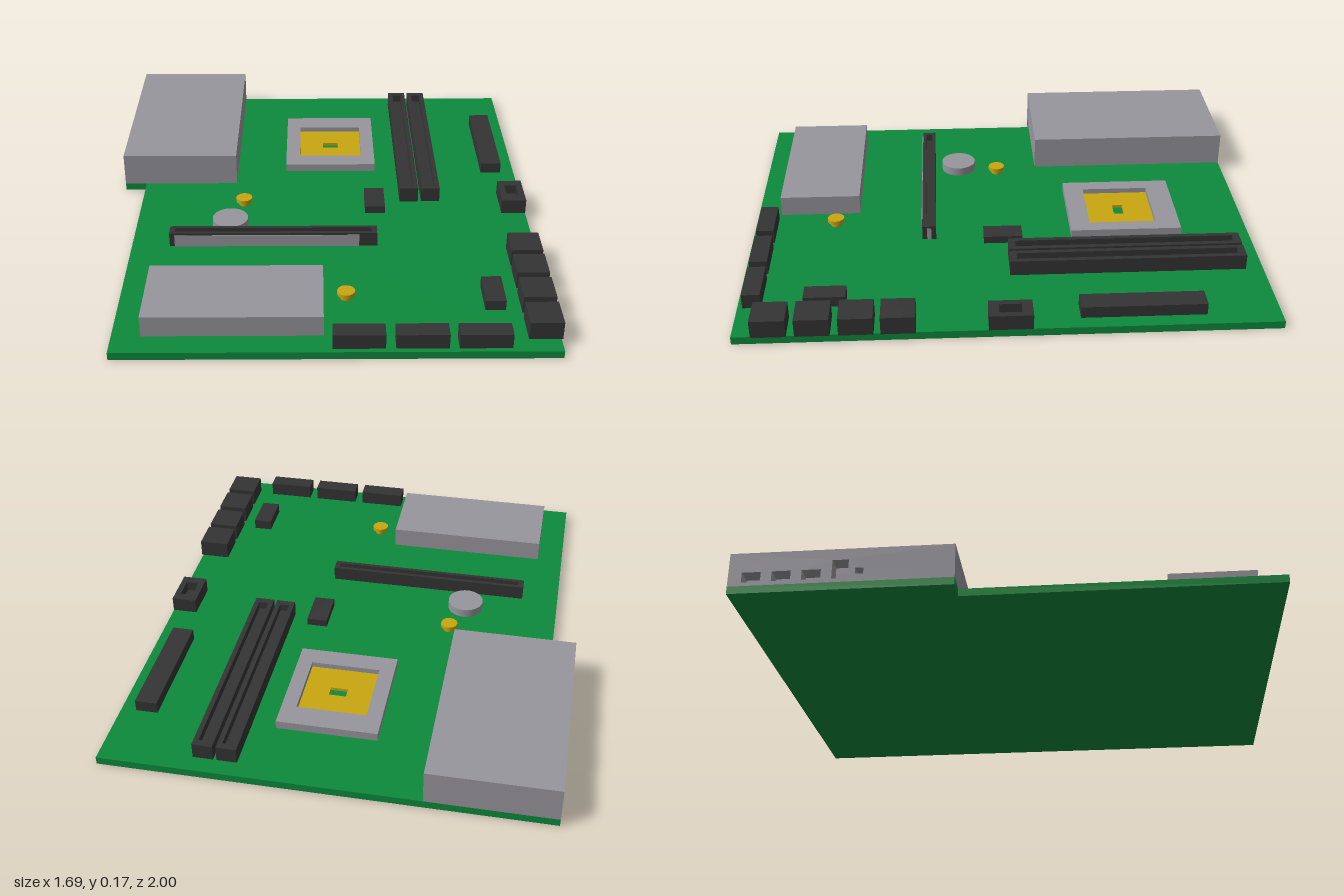
import * as THREE from 'three';

export function createModel() {
  const model = new THREE.Group();
  const paint = (name, color) => {
    const m = new THREE.MeshStandardMaterial({ color });
    m.name = name;
    return m;
  };
  const green = paint('board green', 0x0d8a3c);
  const grey = paint('metal grey', 0x98969d);
  const dark = paint('plastic black', 0x343434);
  const gold = paint('contact gold', 0xc9a60f);
  const TOP = 0.03; // upper face of the board

  const add = (name, geometry, material, parent = model) => {
    const mesh = new THREE.Mesh(geometry, material);
    mesh.name = name;
    parent.add(mesh);
    return mesh;
  };
  // Box given by its limits on each axis
  const box = (name, mat, x0, x1, y0, y1, z0, z1, parent) =>
    add(name, new THREE.BoxGeometry(x1 - x0, y1 - y0, z1 - z0)
      .translate((x0 + x1) / 2, (y0 + y1) / 2, (z0 + z1) / 2), mat, parent);
  const rect = (Type, a0, a1, b0, b1) => {
    const p = new Type();
    p.moveTo(a0, b0).lineTo(a1, b0).lineTo(a1, b1).lineTo(a0, b1).closePath();
    return p;
  };
  const extrude = (shape, depth) =>
    new THREE.ExtrudeGeometry(shape, { depth, bevelEnabled: false });
  // Rectangular wall around an opening seen from above; inner = [x0, x1, z0, z1]
  const frame = (name, mat, x0, x1, z0, z1, y1, inner, parent) => {
    const s = rect(THREE.Shape, x0, x1, -z1, -z0);
    s.holes.push(rect(THREE.Path, inner[0], inner[1], -inner[3], -inner[2]));
    return add(name, extrude(s, y1 - TOP).rotateX(-Math.PI / 2).translate(0, TOP, 0), mat, parent);
  };
  // Open-topped connector with a floor
  const slot = (name, x0, x1, z0, z1, y1, floorY, inner) => {
    const g = new THREE.Group();
    g.name = name;
    frame(name + 'Wall', dark, x0, x1, z0, z1, y1, inner, g);
    box(name + 'Floor', dark, inner[0], inner[1], TOP, floorY, inner[2], inner[3], g);
    model.add(g);
    return g;
  };

  // Circuit board, wider at the back left under the port block
  const outline = new THREE.Shape([
    [-0.76, -1], [0.835, -1], [0.835, 1], [-0.85, 1], [-0.85, 0.175], [-0.76, 0.175],
  ].map(([x, y]) => new THREE.Vector2(x, y)));
  add('board', extrude(outline, TOP).rotateX(-Math.PI / 2), green);

  // Rear port block with recessed ports in its left-hand plate
  const ports = new THREE.Group();
  ports.name = 'portBlock';
  box('portBlockBody', grey, -0.79, -0.37, TOP, 0.165, -1, -0.175, ports);
  const plate = rect(THREE.Shape, -1, -0.175, TOP, 0.165);
  [
    [-0.95, -0.88, 0.045, 0.085], [-0.84, -0.77, 0.045, 0.085],
    [-0.73, -0.66, 0.045, 0.085], [-0.62, -0.56, 0.045, 0.12],
    [-0.535, -0.505, 0.06, 0.085],
  ].forEach((h) => plate.holes.push(rect(THREE.Path, ...h)));
  add('portPlate', extrude(plate, 0.06).rotateY(-Math.PI / 2).translate(-0.79, 0, 0), grey, ports);
  model.add(ports);

  // Heat sink
  box('heatSink', grey, -0.655, -0.005, TOP, 0.112, 0.58, 0.905);

  // Processor socket: metal frame, gold contact field with an opening to the board
  frame('socketFrame', grey, -0.16, 0.228, -0.725, -0.28, 0.063, [-0.1, 0.17, -0.63, -0.36]);
  frame('socketContacts', gold, -0.1, 0.17, -0.63, -0.36, 0.042, [0.003, 0.07, -0.515, -0.473]);

  // Memory slots
  for (const x of [0.321, 0.411]) {
    slot('memorySlot', x, x + 0.077, -0.932, -0.018, 0.092, 0.06,
      [x + 0.019, x + 0.058, -0.905, -0.045]);
  }

  // Expansion slot with metal cladding
  const expansion = slot('expansionSlot', -0.61, 0.212, 0.265, 0.32, 0.088, 0.06,
    [-0.588, 0.19, 0.28, 0.305]);
  box('expansionCladding', grey, -0.59, 0.14, TOP, 0.08, 0.32, 0.323, expansion);
  box('expansionEndPlate', grey, 0.212, 0.214, TOP, 0.08, 0.284, 0.301, expansion);

  // Coin battery
  add('battery', new THREE.CylinderGeometry(0.072, 0.072, 0.035, 32)
    .translate(-0.378, TOP + 0.0175, 0.163), grey);

  // Gold standoffs with a wider head
  for (const [x, z] of [[-0.33, -0.003], [0.08, 0.674]]) {
    add('standoffStem', new THREE.CylinderGeometry(0.023, 0.023, 0.02, 12)
      .translate(x, TOP + 0.01, z), gold);
    add('standoffHead', new THREE.CylinderGeometry(0.034, 0.034, 0.016, 12)
      .translate(x, TOP + 0.024, z), gold);
  }

  // Power connector and small headers
  box('powerConnector', dark, 0.692, 0.777, TOP, 0.076, -0.725, -0.26);
  box('centreHeader', dark, 0.173, 0.255, TOP, 0.06, -0.08, 0.074);
  box('sideHeader', dark, 0.587, 0.662, TOP, 0.072, 0.6, 0.757);
  slot('shroudedHeader', 0.737, 0.836, -0.084, 0.078, 0.09, 0.05, [0.762, 0.812, -0.045, 0.04]);

  // Drive connectors along the right-hand edge
  for (const z of [0.34, 0.491, 0.647, 0.803]) {
    box('driveConnector', dark, 0.72, 0.841, TOP, 0.1, z, z + 0.126);
  }

  // Front edge headers
  for (const x of [0.025, 0.248, 0.47]) {
    box('frontHeader', dark, x, x + 0.187, TOP, 0.088, 0.912, 0.981);
  }

  return model;
}
